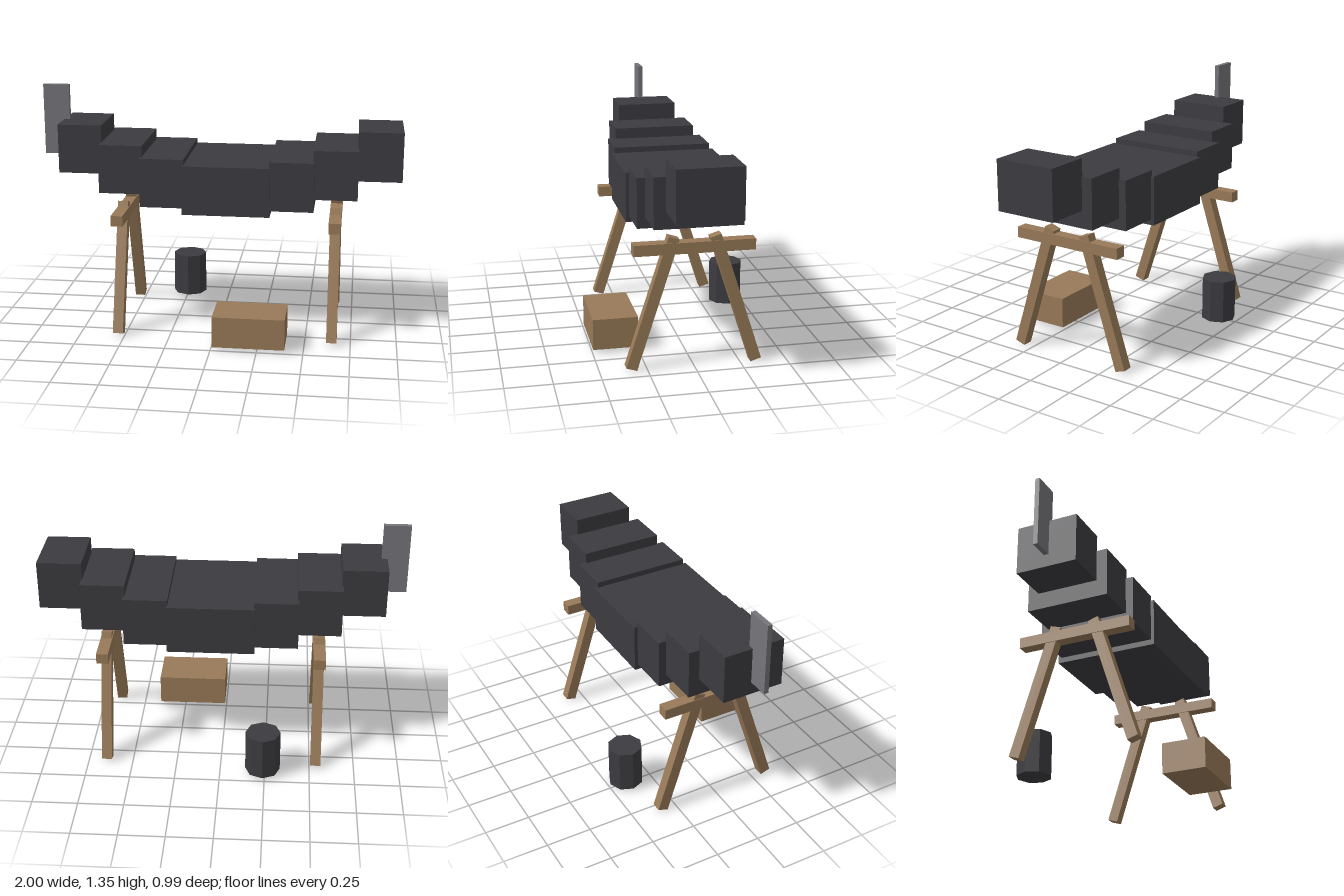
import * as THREE from 'three';

export function createModel() {
  const model = new THREE.Group();
  model.name = 'boatOnTrestles';

  const material = (name, color) => {
    const m = new THREE.MeshStandardMaterial({ color });
    m.name = name;
    return m;
  };
  const tar = material('dark tar', 0x3c3b40);
  const wood = material('wood', 0x997a58);
  const grey = material('grey', 0x75757a);

  const add = (name, geometry, mat, x, y, z, parent = model) => {
    const mesh = new THREE.Mesh(geometry, mat);
    mesh.name = name;
    mesh.position.set(x, y, z);
    parent.add(mesh);
    return mesh;
  };
  const box = (w, h, d) => new THREE.BoxGeometry(w, h, d);

  // Hull: a wide middle block with narrower, higher blocks towards both ends
  const hullX = 0.058;
  const hull = new THREE.Group();
  hull.name = 'hull';
  hull.position.x = hullX;
  model.add(hull);
  add('hullMiddle', box(0.476, 0.27, 0.587), tar, 0, 0.835, 0, hull);
  const steps = [
    { x: 0.352, y: 0.866, width: 0.55 },
    { x: 0.585, y: 0.926, width: 0.464 },
    { x: 0.821, y: 1.02, width: 0.342 },
  ];
  for (const side of [-1, 1]) {
    for (const s of steps) {
      add('hullStep', box(0.242, 0.27, s.width), tar, side * s.x, s.y, 0, hull);
    }
  }

  // Upright plate at one end of the hull
  add('endPlate', box(0.146, 0.394, 0.026), grey, -0.927, 1.153, 0);

  // Trestles: a crossbar over two splayed legs
  const top = new THREE.Vector2(0.109, 0.714);
  const foot = new THREE.Vector2(0.334, 0.0125);
  const length = top.distanceTo(foot);
  const tilt = Math.atan2(foot.x - top.x, top.y - foot.y);
  for (const x of [-0.535, 0.647]) {
    const trestle = new THREE.Group();
    trestle.name = 'trestle';
    trestle.position.x = x;
    model.add(trestle);
    add('crossbar', box(0.065, 0.059, 0.642), wood, 0, 0.658, 0, trestle);
    for (const side of [-1, 1]) {
      const leg = add('leg', box(0.057, length, 0.06), wood,
        0, (top.y + foot.y) / 2, side * (top.x + foot.x) / 2, trestle);
      leg.rotation.x = -side * tilt;
    }
  }

  // Crate in front and eight-sided barrel behind
  add('crate', box(0.392, 0.172, 0.247), wood, 0.204, 0.108, 0.373);
  const barrel = new THREE.CylinderGeometry(0.097, 0.097, 0.243, 8).toNonIndexed();
  barrel.computeVertexNormals();
  add('barrel', barrel, tar, -0.238, 0.141, -0.396);

  return model;
}
